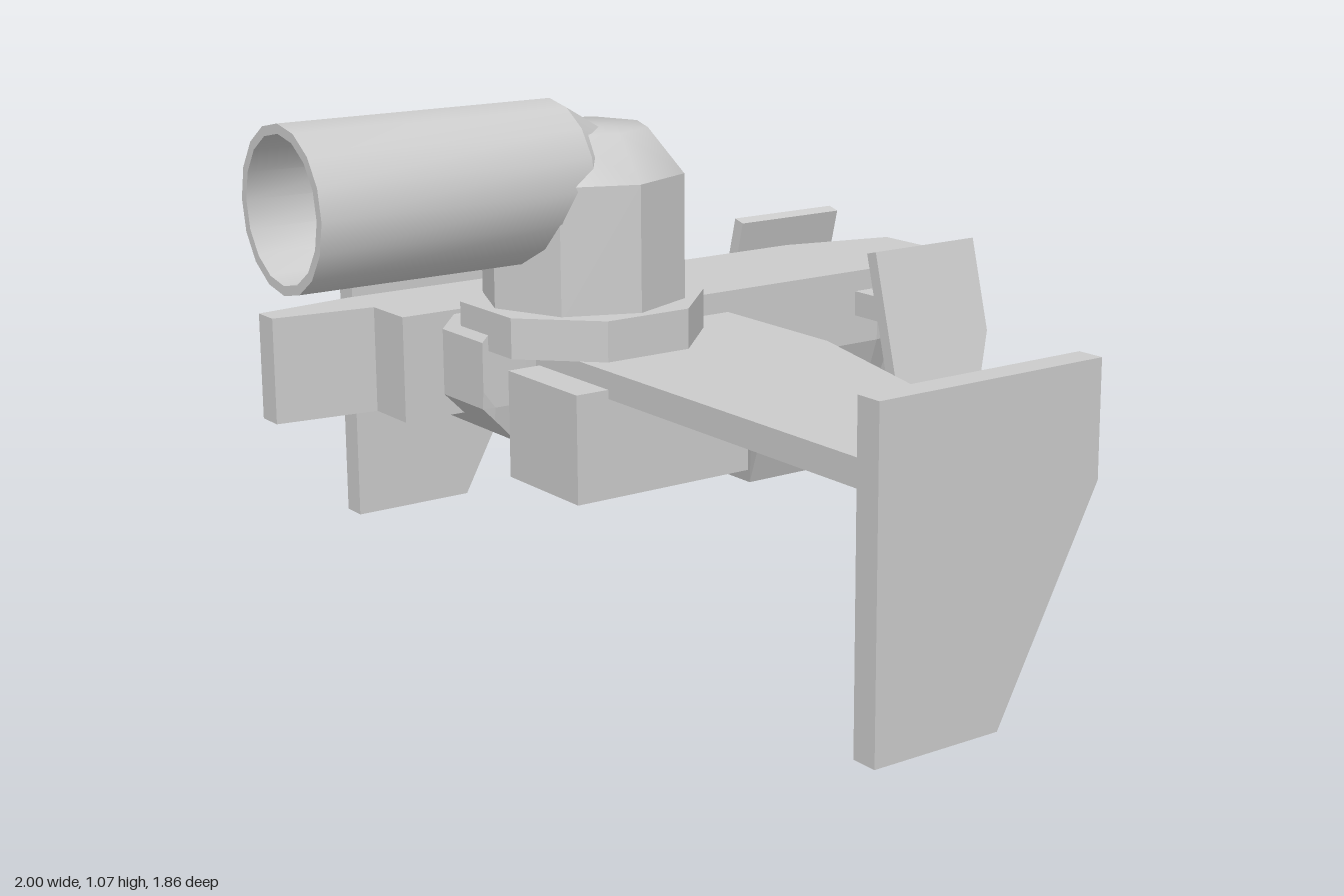
import * as THREE from 'three';
import { toCreasedNormals } from 'three/addons/utils/BufferGeometryUtils.js';

const flat = new THREE.MeshStandardMaterial({ color: 0xcccccc, flatShading: true });
const smooth = new THREE.MeshStandardMaterial({ color: 0xcccccc, side: THREE.DoubleSide });

function extrude(points, depth) {
  const shape = new THREE.Shape(points.map(([a, b]) => new THREE.Vector2(a, b)));
  return new THREE.ExtrudeGeometry(shape, { depth, bevelEnabled: false });
}

// Plan outline of [x, z] points, raised from y0 to y1
function slab(points, y0, y1) {
  const g = extrude(points.map(([x, z]) => [x, -z]), y1 - y0);
  return g.rotateX(-Math.PI / 2).translate(0, y0, 0);
}

// Side outline of [z, y] points, with its thickness centred on x = 0
function sidePlate(points, thickness) {
  return extrude(points, thickness).rotateY(-Math.PI / 2).translate(thickness / 2, 0, 0);
}

function block(x0, x1, y0, y1, z0, z1) {
  return new THREE.BoxGeometry(x1 - x0, y1 - y0, z1 - z0)
    .translate((x0 + x1) / 2, (y0 + y1) / 2, (z0 + z1) / 2);
}

// Skin between six-cornered sections listed from front to back
function hull(sections) {
  const rings = sections.map(([z, top, mid, bottom, half, halfBottom]) => [
    [half, top, z], [-half, top, z], [-half, mid, z],
    [-halfBottom, bottom, z], [halfBottom, bottom, z], [half, mid, z],
  ]);
  const pos = [];
  const tri = (a, b, c) => pos.push(...a, ...b, ...c);
  for (let s = 0; s < rings.length - 1; s++) {
    const f = rings[s], r = rings[s + 1];
    for (let i = 0; i < 6; i++) {
      const j = (i + 1) % 6;
      tri(f[i], r[i], r[j]);
      tri(f[i], r[j], f[j]);
    }
  }
  const first = rings[0], last = rings[rings.length - 1];
  for (let i = 1; i < 5; i++) {
    tri(first[0], first[i], first[i + 1]);
    tri(last[0], last[i + 1], last[i]);
  }
  const g = new THREE.BufferGeometry();
  g.setAttribute('position', new THREE.Float32BufferAttribute(pos, 3));
  g.computeVertexNormals();
  return g;
}

function lathe(points, segments) {
  const g = new THREE.LatheGeometry(points.map(([r, y]) => new THREE.Vector2(r, y)), segments);
  return toCreasedNormals(g, 0.5);
}

export function createModel() {
  const model = new THREE.Group();
  const add = (name, geometry, material = flat) => {
    const mesh = new THREE.Mesh(geometry, material);
    mesh.name = name;
    model.add(mesh);
    return mesh;
  };
  const bodyX = -0.49, turretX = -0.32, turretZ = 0.2;

  // Fuselage with the deep tail keel: z, top, mid, bottom, half width, bottom half width
  add('fuselage', hull([
    [0.47, 0.55, 0.44, 0.40, 0.18, 0.175],
    [0.44, 0.58, 0.40, 0.37, 0.18, 0.175],
    [0.38, 0.58, 0.40, 0.31, 0.18, 0.165],
    [-0.28, 0.58, 0.40, 0.31, 0.18, 0.165],
    [-0.35, 0.58, 0.40, 0.06, 0.18, 0.06],
    [-0.65, 0.58, 0.40, 0.06, 0.18, 0.06],
    [-0.72, 0.58, 0.40, 0.06, 0.162, 0.06],
    [-0.86, 0.58, 0.40, 0.35, 0.127, 0.11],
    [-0.925, 0.58, 0.42, 0.39, 0.11, 0.105],
  ])).position.x = bodyX;

  // Wing, uneven about the fuselage
  add('wing', slab([
    [-0.95, 0.35], [0.95, 0.35], [0.95, 0.04], [0.06, -0.195],
    [-0.67, -0.195], [-0.95, 0.01],
  ], 0.47, 0.53));

  // Wing tip plates
  const tip = sidePlate([[0.45, 0], [0.45, 0.69], [-0.095, 0.69], [-0.095, 0.45], [0.15, 0]], 0.06);
  for (const s of [-1, 1]) {
    add(s > 0 ? 'leftTipPlate' : 'rightTipPlate', tip).position.x = s * 0.97;
  }

  // Leaning tail fins on short struts
  const fin = sidePlate([[-0.56, -0.3], [-0.56, 0.3], [-0.87, 0.3], [-0.87, 0.07], [-0.72, -0.3]], 0.033);
  for (const s of [-1, 1]) {
    const side = s > 0 ? 'left' : 'right';
    const mesh = add(side + 'TailFin', fin);
    mesh.position.set(bodyX + s * 0.34, 0.35, 0);
    mesh.rotation.z = s * 0.26;
    const inner = bodyX + s * 0.1, outer = bodyX + s * 0.3;
    add(side + 'FinStrut',
      block(Math.min(inner, outer), Math.max(inner, outer), 0.47, 0.53, -0.78, -0.58));
  }

  // Tapered side pod and the box under the wing
  add('sidePod', slab([
    [-0.735, 0.12], [-0.735, 0.57], [-0.705, 0.805], [-0.64, 0.805],
    [-0.61, 0.57], [-0.48, 0.57], [-0.48, 0.12],
  ], 0.35, 0.59));
  add('underwingBox', block(-0.27, 0, 0.25, 0.49, -0.02, 0.43));

  // Eight-sided turret
  const turret = new THREE.Group();
  turret.name = 'turret';
  turret.position.set(turretX, 0, turretZ);
  model.add(turret);
  const addTurret = (name, geometry, material = flat) => {
    const mesh = new THREE.Mesh(geometry, material);
    mesh.name = name;
    turret.add(mesh);
    return mesh;
  };
  addTurret('turretNeck', new THREE.CylinderGeometry(0.165, 0.165, 0.1, 8).translate(0, 0.49, 0));
  addTurret('turretRing',
    new THREE.CylinderGeometry(0.276, 0.276, 0.09, 8).rotateY(Math.PI / 8).translate(0, 0.575, 0));
  addTurret('turretDrum', new THREE.CylinderGeometry(0.23, 0.23, 0.29, 8).translate(0, 0.755, 0));
  const dome = new THREE.LatheGeometry(
    [[0.23, 0.9], [0.15, 1.0], [0, 1.003]].map(([r, y]) => new THREE.Vector2(r, y)), 8);
  addTurret('turretDome', dome, smooth);

  // Barrel with a coned rear and a funnel-shaped bore
  const barrel = lathe([
    [0, -0.02], [0.178, 0.28], [0.178, 0.93], [0.157, 0.93], [0.15, 0.62], [0.045, 0.34], [0, 0.34],
  ], 16).rotateX(Math.PI / 2);
  addTurret('barrel', barrel, smooth).position.set(0, 0.89, -turretZ);

  return model;
}
